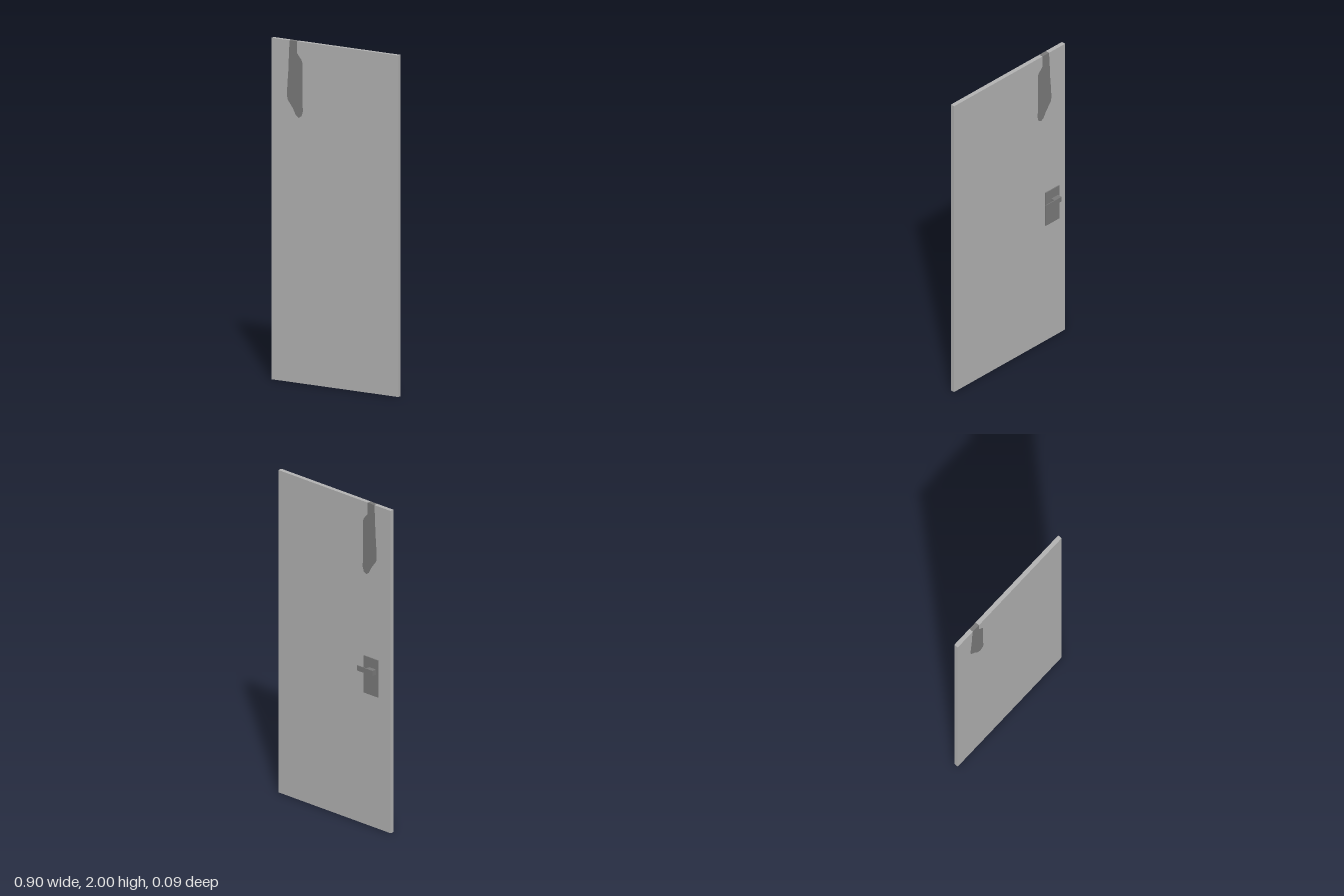
import * as THREE from 'three';

const lightGrey = new THREE.MeshStandardMaterial({ name: 'lightGrey', color: 0xb2b2b2 });
const darkGrey = new THREE.MeshStandardMaterial({ name: 'darkGrey', color: 0x7a7a7a });

// Outline of the dark inlay, from its top left corner down and round to its top right
const INLAY = [
  [-0.318, 2], [-0.322, 1.95], [-0.328, 1.82], [-0.333, 1.76], [-0.338, 1.68], [-0.333, 1.653],
  [-0.296, 1.605], [-0.275, 1.567], [-0.254, 1.553], [-0.234, 1.565], [-0.223, 1.6],
  [-0.229, 1.63], [-0.229, 1.88], [-0.234, 1.893], [-0.265, 1.93], [-0.265, 2],
];

const HALF_WIDTH = 0.448, BACK = 0.016, FRONT = 0.042;

// Flat panel filling the thickness of the door
function panel(name, points, material) {
  const shape = new THREE.Shape(points.map(([x, y]) => new THREE.Vector2(x, y)));
  const geometry = new THREE.ExtrudeGeometry(shape, { depth: FRONT - BACK, bevelEnabled: false });
  const mesh = new THREE.Mesh(geometry, material);
  mesh.name = name;
  mesh.position.z = BACK;
  return mesh;
}

// Box given by its limits on each axis
function block(name, [x0, x1], [y0, y1], [z0, z1]) {
  const mesh = new THREE.Mesh(new THREE.BoxGeometry(x1 - x0, y1 - y0, z1 - z0), darkGrey);
  mesh.name = name;
  mesh.position.set((x0 + x1) / 2, (y0 + y1) / 2, (z0 + z1) / 2);
  return mesh;
}

export function createModel() {
  const door = new THREE.Group();
  door.name = 'door';

  // Door leaf, notched to receive the inlay
  door.add(panel('doorLeaf', [
    [-HALF_WIDTH, 0], [-HALF_WIDTH, 2], ...INLAY, [HALF_WIDTH, 2], [HALF_WIDTH, 0],
  ], lightGrey));
  door.add(panel('inlay', INLAY, darkGrey));

  // Handle on the back, standing slightly clear of the leaf
  const handle = new THREE.Group();
  handle.name = 'handle';
  handle.add(
    block('handlePlate', [-0.375, -0.263], [0.83, 1.06], [-0.014, -0.008]),
    block('handleStem', [-0.361, -0.307], [0.968, 1.0], [-0.038, -0.014]),
    block('handleLever', [-0.361, -0.236], [0.968, 1.0], [-0.043, -0.038]),
  );
  door.add(handle);
  return door;
}
